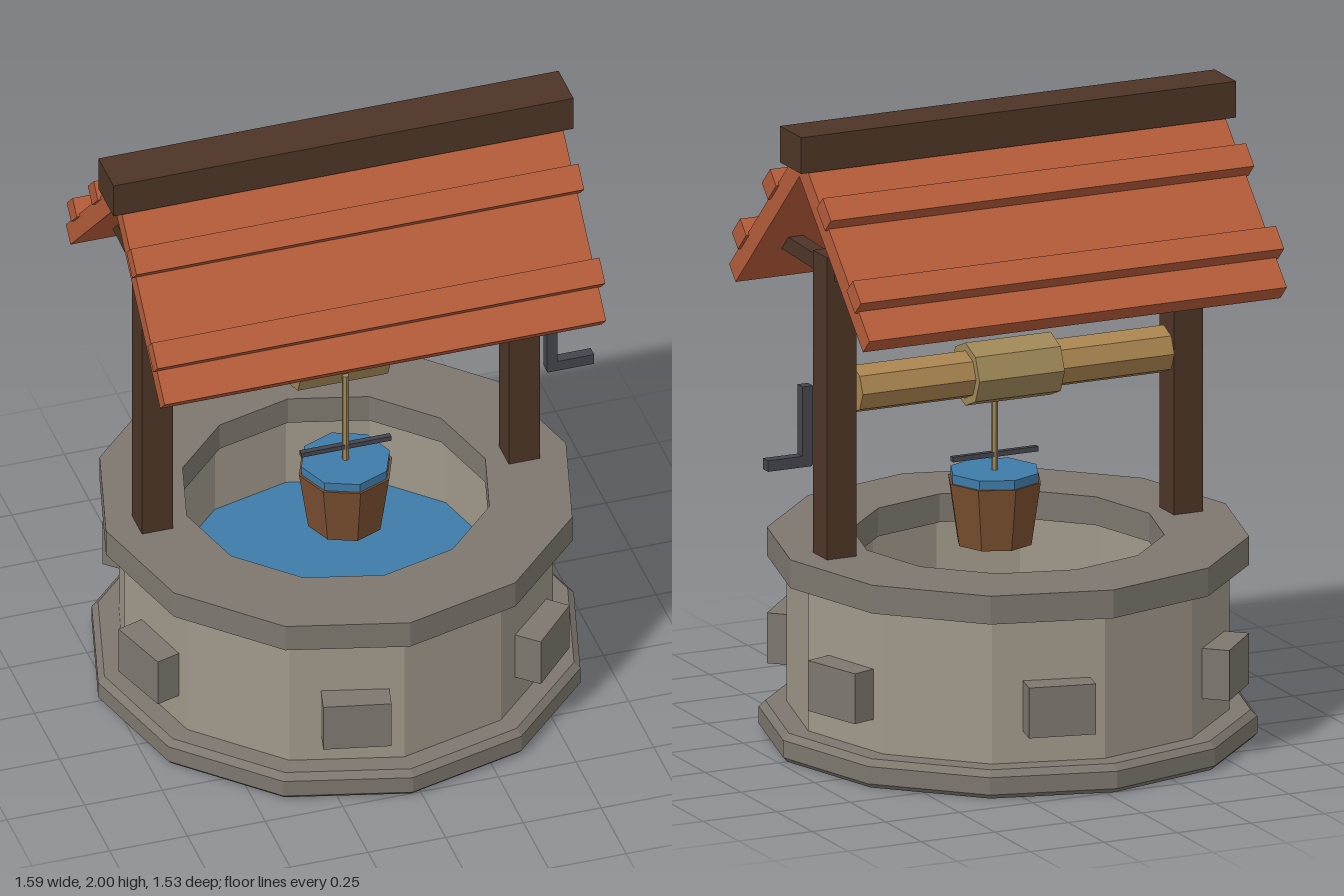
import * as THREE from 'three';

const mat = (color) => new THREE.MeshStandardMaterial({ color, flatShading: true });
const M = {
  stone: mat(0xa0988a), trim: mat(0x7d776e), wood: mat(0x4d3527), roof: mat(0xb55c3a),
  water: mat(0x3f7ba8), tan: mat(0xa98450), rope: mat(0xa08858), bucket: mat(0x7a4f30), metal: mat(0x45464d),
};

export function createModel() {
  const model = new THREE.Group();
  model.name = 'well';

  const add = (name, geo, material, x = 0, y = 0, z = 0, parent = model) => {
    const m = new THREE.Mesh(geo, material);
    m.name = name;
    m.position.set(x, y, z);
    parent.add(m);
    return m;
  };
  const box = (w, h, d) => new THREE.BoxGeometry(w, h, d);
  const ring = (pts) => new THREE.LatheGeometry(pts.map(([r, y]) => new THREE.Vector2(r, y)), 12);

  // Twelve-sided stone base, wall and rim
  add('base', ring([[0, 0], [0.75, 0], [0.765, 0.015], [0.765, 0.07], [0.745, 0.09], [0, 0.09]]), M.trim);
  add('wall', ring([[0.68, 0.08], [0.68, 0.56], [0.5, 0.56], [0.5, 0.08]]), M.stone);
  add('rim', ring([[0.48, 0.55], [0.74, 0.55], [0.74, 0.64], [0.48, 0.64], [0.48, 0.55]]), M.trim);
  add('wellWater', new THREE.CylinderGeometry(0.5, 0.5, 0.02, 12), M.water, 0, 0.3, 0);

  // Six stones standing out from the wall
  for (let i = 0; i < 6; i++) {
    const a = -0.3 + (i * Math.PI) / 3;
    const s = add('wallStone', box(0.11, 0.16, 0.21), M.trim, 0.685 * Math.cos(a), 0.27, 0.685 * Math.sin(a));
    s.rotation.y = -a;
  }

  // Posts with their roof braces
  for (const sx of [-1, 1]) {
    add('post', box(0.1, 1.0, 0.1), M.wood, sx * 0.59, 1.1, 0);
    for (const sz of [-1, 1]) {
      const brace = add('brace', box(0.05, 0.05, 0.32), M.wood, sx * 0.59, 1.553, sz * 0.16);
      brace.rotation.x = -sz * 0.04;
    }
  }
  add('tieBeam', box(1.18, 0.06, 0.06), M.wood, 0, 1.56, 0);

  // Two roof slopes, each with two battens
  for (const s of [-1, 1]) {
    const slope = new THREE.Group();
    slope.name = 'roofSlope';
    slope.position.y = 1.9;
    slope.rotation.x = s * Math.PI / 4;
    model.add(slope);
    add('roofPanel', box(1.42, 0.064, 0.664), M.roof, 0, 0, s * 0.332, slope);
    for (const u of [0.219, 0.516]) add('batten', box(1.44, 0.06, 0.082), M.roof, 0, 0.053, s * u, slope);
  }
  add('ridge', box(1.48, 0.115, 0.15), M.wood, 0, 1.9425, 0);

  // Windlass
  const roller = (name, r, len, material) => {
    add(name, new THREE.CylinderGeometry(r, r, len, 8), material, 0, 1.158, 0).rotation.z = Math.PI / 2;
  };
  roller('axle', 0.075, 1.06, M.tan);
  roller('ropeDrum', 0.1, 0.29, M.rope);
  add('crankArm', box(0.035, 0.25, 0.035), M.metal, 0.69, 1.065, 0);
  add('crankHandle', box(0.15, 0.035, 0.035), M.metal, 0.75, 0.952, 0);

  // Bucket hanging on the rope
  add('rope', new THREE.CylinderGeometry(0.011, 0.011, 0.33, 6), M.rope, 0, 0.965, 0.095);
  add('bucket', new THREE.CylinderGeometry(0.15, 0.12, 0.2, 8), M.bucket, 0, 0.685, 0.095);
  add('bucketWater', new THREE.CylinderGeometry(0.142, 0.142, 0.03, 8), M.water, 0, 0.799, 0.095);
  add('bucketHandle', box(0.29, 0.016, 0.018), M.metal, 0, 0.864, 0.095);

  // Centre the whole, crank included
  for (const part of model.children) part.position.x -= 0.03;
  return model;
}
